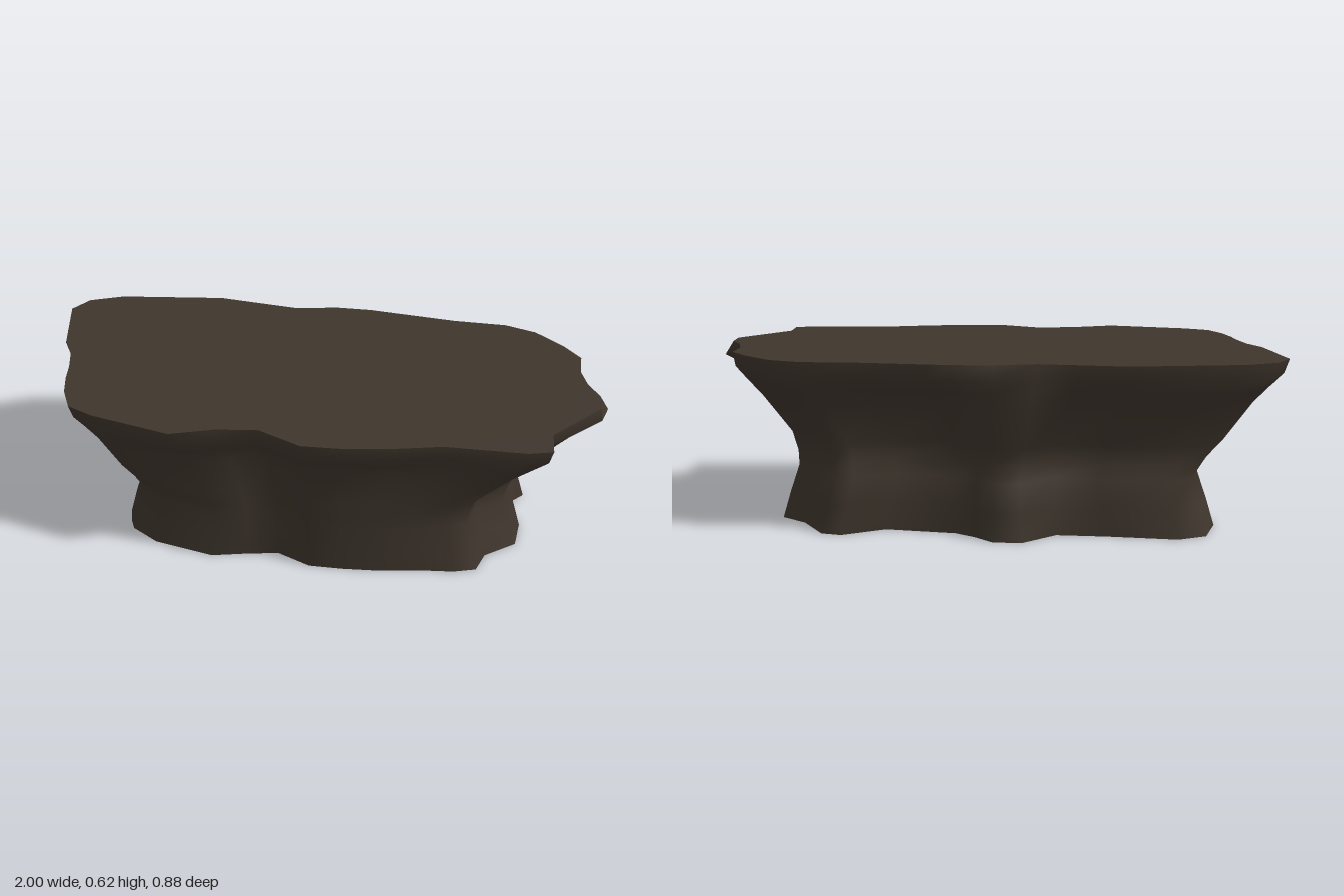
import * as THREE from 'three';
import { toCreasedNormals } from 'three/addons/utils/BufferGeometryUtils.js';

// Foot outline [x, z], counterclockwise from the front left as seen from above
const foot = [
  [-.68, .24], [-.58, .3], [-.36, .345], [-.24, .32], [-.12, .3], [0, .35], [.12, .35], [.25, .342], [.4, .32],
  [.52, .31], [.6, .288], [.63, .21], [.74, .134], [.755, .024], [.71, -.054], [.71, -.09], [.77, -.15],
  [.68, -.21], [.6, -.325], [.53, -.34], [.38, -.275], [.13, -.31], [.06, -.35], [0, -.4], [-.1, -.405],
  [-.22, -.32], [-.4, -.33], [-.64, -.355], [-.74, -.317], [-.785, -.194], [-.75, -.045], [-.68, .02],
  [-.7, .07], [-.715, .147], [-.7, .2],
];
// Rim outline, one point above each foot point
const rim = [
  [-.82, .33], [-.73, .37], [-.45, .435], [-.3, .39], [-.16, .375], [-.01, .44], [.14, .435], [.28, .415], [.45, .38],
  [.72, .38], [.8, .36], [.8, .27], [.965, .1], [.965, .03], [.925, -.04], [.905, -.11], [.91, -.2],
  [.85, -.27], [.75, -.35], [.64, -.385], [.45, -.39], [.22, -.415], [.13, -.425], [0, -.425], [-.15, -.4],
  [-.28, -.415], [-.45, -.435], [-.83, -.395], [-.95, -.35], [-1, -.28], [-.95, -.05], [-.91, .02],
  [-.89, .1], [-.88, .17], [-.86, .25],
];
// Height, foot scale in x, foot scale in z (front, back, end front, end back),
// then blend to the rim: toward -x, toward +x, and in z along the long sides
const layers = [
  [0, 1, 1, 1, 1, 1, 0, 0, 0],
  [.1, .96, 1.01, .97, .97, .98, 0, 0, 0],
  [.2, .915, 1.015, .94, .94, .96, 0, 0, 0],
  [.25, .92, 1.02, .86, .95, .88, .1, 0, .03],
  [.32, .93, 1.03, .91, .97, .84, .28, .06, .07],
  [.46, .95, 1.01, 1, .97, .84, .58, .5, .27],
  [.52, .97, 1, 1, 1, .93, .75, .73, .6],
  [.57, 1, 1, 1, 1, 1, .93, .95, .95],
  [.62, 1, 1, 1, 1, 1, 1, 1, 1],
];

function layerPoint(i, [y, sx, front, back, endFront, endBack, tLow, tHigh, tSide]) {
  const [fx, fz] = foot[i], [rx, rz] = rim[i];
  const isEnd = Math.abs(fx) > .5;
  const tx = fx < 0 ? tLow : tHigh;
  const sz = isEnd ? (fz > 0 ? endFront : endBack) : (fz > 0 ? front : back);
  let x = THREE.MathUtils.lerp(fx * sx, rx, tx);
  let z = THREE.MathUtils.lerp(fz * sz, rz, isEnd ? tx : tSide);
  // Small overhangs just under the rim, at one end and at the back
  if (y === .57) {
    if (i === 12) x += .02;
    if (i === 13) x += .043;
    if (i === 22) z -= .02;
    if (i === 23) z -= .012;
  }
  return [x, y, z];
}

function wallGeometry() {
  const n = foot.length, positions = [], index = [];
  for (const layer of layers) for (let i = 0; i < n; i++) positions.push(...layerPoint(i, layer));
  for (let j = 0; j < layers.length - 1; j++) {
    for (let i = 0; i < n; i++) {
      const a = j * n + i, b = j * n + (i + 1) % n;
      index.push(a, b, b + n, a, b + n, a + n);
    }
  }
  const geometry = new THREE.BufferGeometry();
  geometry.setAttribute('position', new THREE.Float32BufferAttribute(positions, 3));
  geometry.setIndex(index);
  return toCreasedNormals(geometry, 1.2);
}

export function createModel() {
  const group = new THREE.Group();
  group.name = 'rockSlab';
  const stone = new THREE.MeshStandardMaterial({ color: 0x3f362d, side: THREE.DoubleSide });
  stone.name = 'dark brown stone';

  // Waisted rock wall, open underneath
  const wall = new THREE.Mesh(wallGeometry(), stone);
  wall.name = 'rockWall';

  // Flat top
  const shape = new THREE.Shape(rim.map(([x, z]) => new THREE.Vector2(x, -z)));
  const top = new THREE.Mesh(new THREE.ShapeGeometry(shape).rotateX(-Math.PI / 2).translate(0, .62, 0), stone);
  top.name = 'flatTop';

  group.add(wall, top);
  return group;
}
